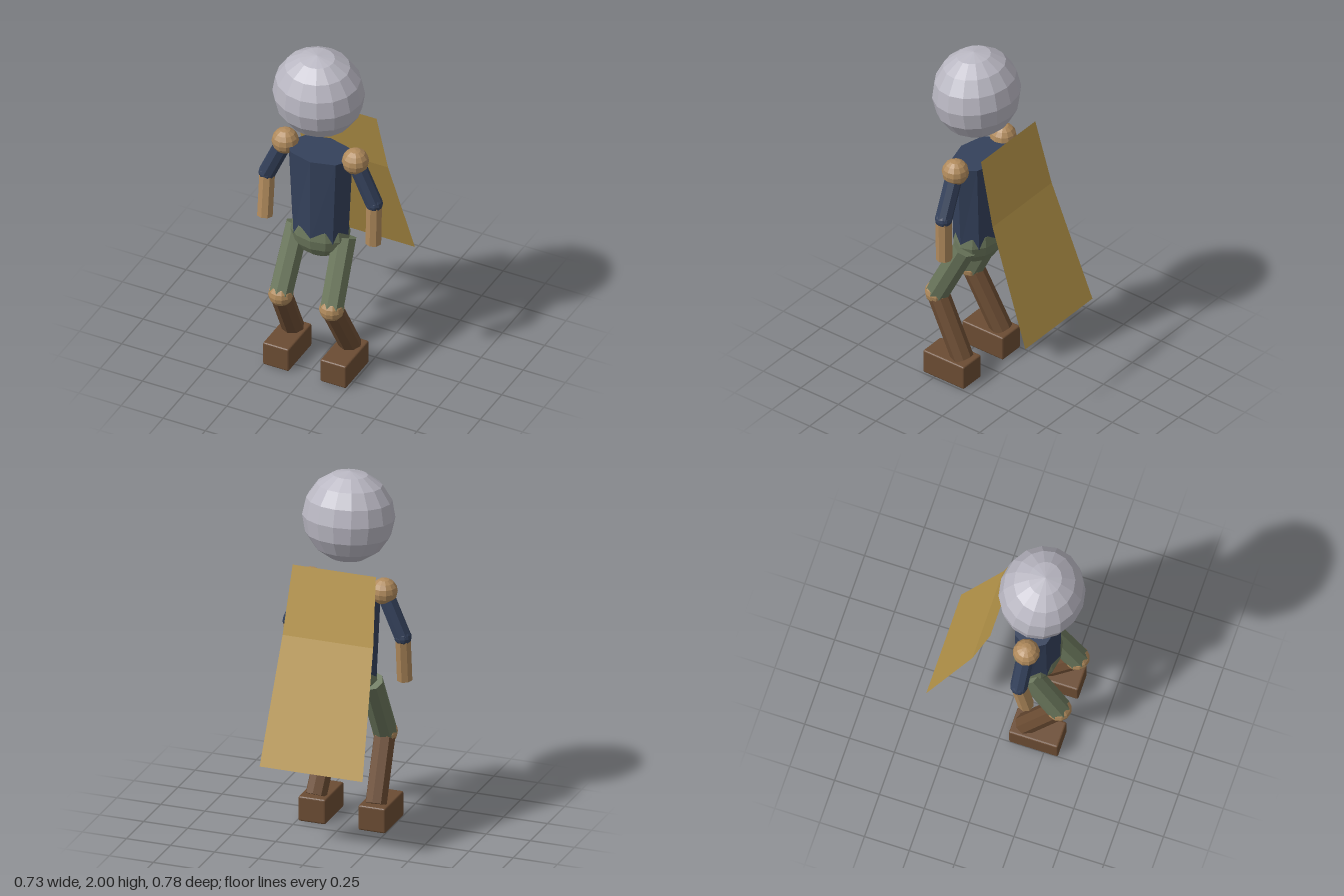
import * as THREE from 'three';
import { RoundedBoxGeometry } from 'three/addons/geometries/RoundedBoxGeometry.js';

export function createModel() {
  const model = new THREE.Group();
  model.name = 'figure';

  const mat = (name, color, opts = {}) => {
    const m = new THREE.MeshStandardMaterial({ color, flatShading: true, ...opts });
    m.name = name;
    return m;
  };
  const grey = mat('paleGrey', 0xb9b7c2);
  const skin = mat('tan', 0xb08a5c);
  const navy = mat('navy', 0x34415b);
  const olive = mat('olive', 0x6b775c);
  const brown = mat('brown', 0x6b4c33);
  const gold = mat('gold', 0xb8964a, { side: THREE.DoubleSide });

  const add = (name, geometry, material, pos = [0, 0, 0], parent = model) => {
    const mesh = new THREE.Mesh(geometry, material);
    mesh.name = name;
    mesh.position.set(...pos);
    parent.add(mesh);
    return mesh;
  };
  const ball = (name, r, material, pos, parent) =>
    add(name, new THREE.SphereGeometry(r, 12, 8), material, pos, parent);

  // Eight-sided limb running from point a to point b
  const limb = (name, a, b, ra, rb, material, parent) => {
    const from = new THREE.Vector3(...a), to = new THREE.Vector3(...b);
    const dir = from.clone().sub(to);
    const mid = from.clone().add(to).multiplyScalar(0.5);
    const mesh = add(name, new THREE.CylinderGeometry(ra, rb, dir.length(), 8), material, mid.toArray(), parent);
    mesh.quaternion.setFromUnitVectors(new THREE.Vector3(0, 1, 0), dir.normalize());
    return mesh;
  };

  const cx = -0.005; // body centre line

  // Floating head, tipped slightly forward
  const head = add('head', new THREE.SphereGeometry(0.25, 16, 8), grey, [cx, 1.75, 0.158]);
  head.scale.z = 0.916;
  head.rotation.x = 0.08;

  // Torso: flattened octagonal taper
  const torso = add('torso', new THREE.CylinderGeometry(0.19, 0.165, 0.52, 8), navy, [cx, 1.095, 0.138]);
  const tp = torso.geometry.attributes.position;
  for (let i = 0; i < tp.count; i++) {
    const r = tp.getY(i) > 0 ? 0.19 : 0.165;
    tp.setZ(i, tp.getZ(i) * 0.122 / r);
  }

  // Pelvis
  const pelvis = ball('pelvis', 1, olive, [cx, 0.84, 0.138]);
  pelvis.scale.set(0.17, 0.15, 0.125);

  for (const s of [-1, 1]) {
    const side = s > 0 ? 'left' : 'right';
    const x = (d) => cx + s * d;

    // Arm: the right hand reaches a little further forward
    const arm = new THREE.Group();
    arm.name = side + 'Arm';
    model.add(arm);
    const shoulder = [x(0.208), 1.355, 0.14];
    const elbow = [x(0.317), 1.11, 0.135];
    const wrist = [x(0.312), 0.855, s > 0 ? 0.135 : 0.172];
    ball('shoulder', 0.073, skin, shoulder, arm);
    limb('upperArm', shoulder, elbow, 0.047, 0.047, navy, arm);
    ball('elbow', 0.047, navy, elbow, arm);
    limb('forearm', elbow, wrist, 0.044, 0.044, skin, arm);

    // Bent leg
    const leg = new THREE.Group();
    leg.name = side + 'Leg';
    model.add(leg);
    const hip = [x(0.138), 0.833, 0.127];
    const knee = [x(0.151), 0.478, 0.303];
    const ankle = [x(0.17), 0.135, 0.12];
    limb('thigh', hip, knee, 0.067, 0.067, olive, leg);
    ball('knee', 0.068, skin, knee, leg);
    limb('shin', knee, ankle, 0.06, 0.06, brown, leg);
    add('foot', new RoundedBoxGeometry(0.154, 0.142, 0.273, 2, 0.01), brown, [x(0.17), 0.071, 0.191], leg);
  }

  // Cape: one flared sheet with a single crease, rows from top to bottom
  const rows = [[0.236, 1.515, -0.052], [0.257, 1.145, -0.145], [0.292, 0.48, -0.39]];
  const cape = new THREE.PlaneGeometry(1, 1, 1, rows.length - 1);
  const cp = cape.attributes.position;
  rows.forEach(([w, y, z], i) => {
    cp.setXYZ(i * 2, cx + w, y, z);
    cp.setXYZ(i * 2 + 1, cx - w, y, z);
  });
  cape.computeVertexNormals();
  add('cape', cape, gold);

  return model;
}
